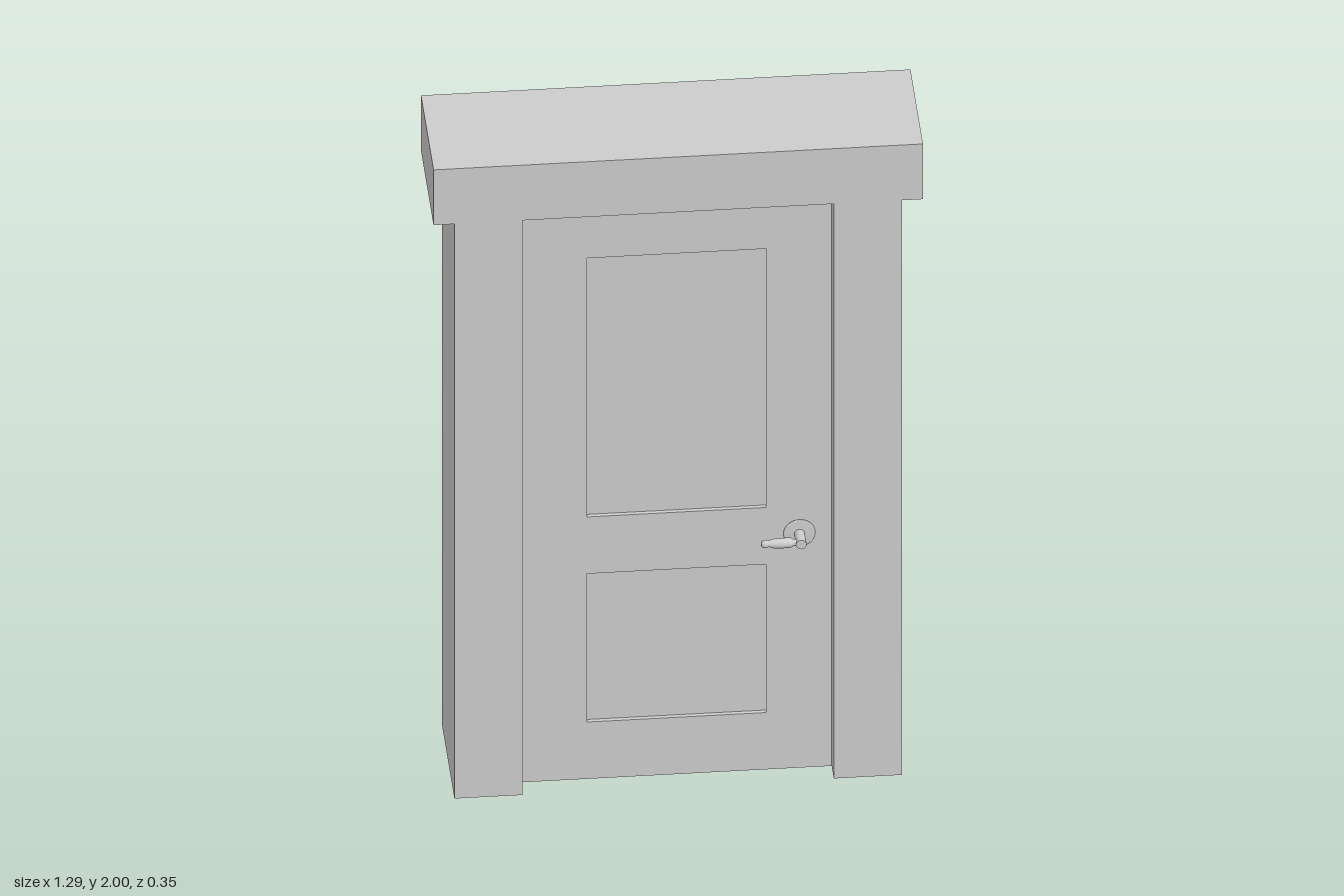
import * as THREE from 'three';

const grey = new THREE.MeshStandardMaterial({ color: 0xcccccc });

function add(parent, name, geometry, x = 0, y = 0, z = 0) {
  const mesh = new THREE.Mesh(geometry, grey);
  mesh.name = name;
  mesh.position.set(x, y, z);
  parent.add(mesh);
  return mesh;
}

// Rectangle traced into a shape or a hole
function rect(path, x0, y0, x1, y1) {
  path.moveTo(x0, y0);
  path.lineTo(x1, y0);
  path.lineTo(x1, y1);
  path.lineTo(x0, y1);
  path.closePath();
  return path;
}

// Lever handle on one door face, pointing out along +z
function createHandle() {
  const handle = new THREE.Group();

  // Thin round plate with a softened rim
  const plate = [[0, 0], [0.042, 0], [0.042, 0.003], [0.039, 0.005], [0, 0.006]]
    .map(([r, h]) => new THREE.Vector2(r, h));
  add(handle, 'rosette', new THREE.LatheGeometry(plate, 32)).rotation.x = Math.PI / 2;

  // Neck standing out from the plate
  const neck = new THREE.CylinderGeometry(0.014, 0.014, 0.058, 20);
  neck.rotateX(Math.PI / 2);
  add(handle, 'handleNeck', neck, 0, 0, 0.029);

  // Turned grip running toward the middle of the door
  const grip = [
    [0, 0], [0.009, 0], [0.009, 0.02], [0.013, 0.026], [0.014, 0.05],
    [0.012, 0.078], [0.008, 0.083], [0.011, 0.09], [0.011, 0.098], [0.007, 0.104], [0, 0.105],
  ].map(([r, h]) => new THREE.Vector2(r, h));
  add(handle, 'handleLever', new THREE.LatheGeometry(grip, 20), 0, 0, 0.045).rotation.z = Math.PI / 2;
  return handle;
}

export function createModel() {
  const model = new THREE.Group();
  model.name = 'door';

  // Surround: two posts and an overhanging lintel
  for (const side of [-1, 1]) {
    add(model, side > 0 ? 'leftPost' : 'rightPost',
      new THREE.BoxGeometry(0.18, 1.821, 0.35), side * 0.5, 0.9145, 0);
  }
  add(model, 'lintel', new THREE.BoxGeometry(1.29, 0.175, 0.35), 0, 1.9125, 0);

  // Door leaf with two openings, set toward the front of the surround
  const back = 0.03, front = 0.11, recess = 0.012;
  const openings = [
    { name: 'lowerPanel', y0: 0.18, y1: 0.65 },
    { name: 'upperPanel', y0: 0.83, y1: 1.65 },
  ];
  const leaf = rect(new THREE.Shape(), -0.41, 0, 0.41, 1.825);
  for (const { y0, y1 } of openings) {
    leaf.holes.push(rect(new THREE.Path(), -0.235, y0, 0.238, y1));
  }
  add(model, 'doorLeaf',
    new THREE.ExtrudeGeometry(leaf, { depth: front - back, bevelEnabled: false }), 0, 0, back);

  // Flat panels sunk into both faces
  for (const { name, y0, y1 } of openings) {
    add(model, name, new THREE.BoxGeometry(0.473, y1 - y0, front - back - 2 * recess),
      0.0015, (y0 + y1) / 2, (front + back) / 2);
  }

  // Handles on both faces, the back one mirrored by a half turn about x
  const frontHandle = createHandle();
  frontHandle.name = 'frontHandle';
  frontHandle.position.set(0.325, 0.745, front);
  const backHandle = createHandle();
  backHandle.name = 'backHandle';
  backHandle.position.set(0.325, 0.745, back);
  backHandle.rotation.x = Math.PI;
  model.add(frontHandle, backHandle);

  return model;
}
